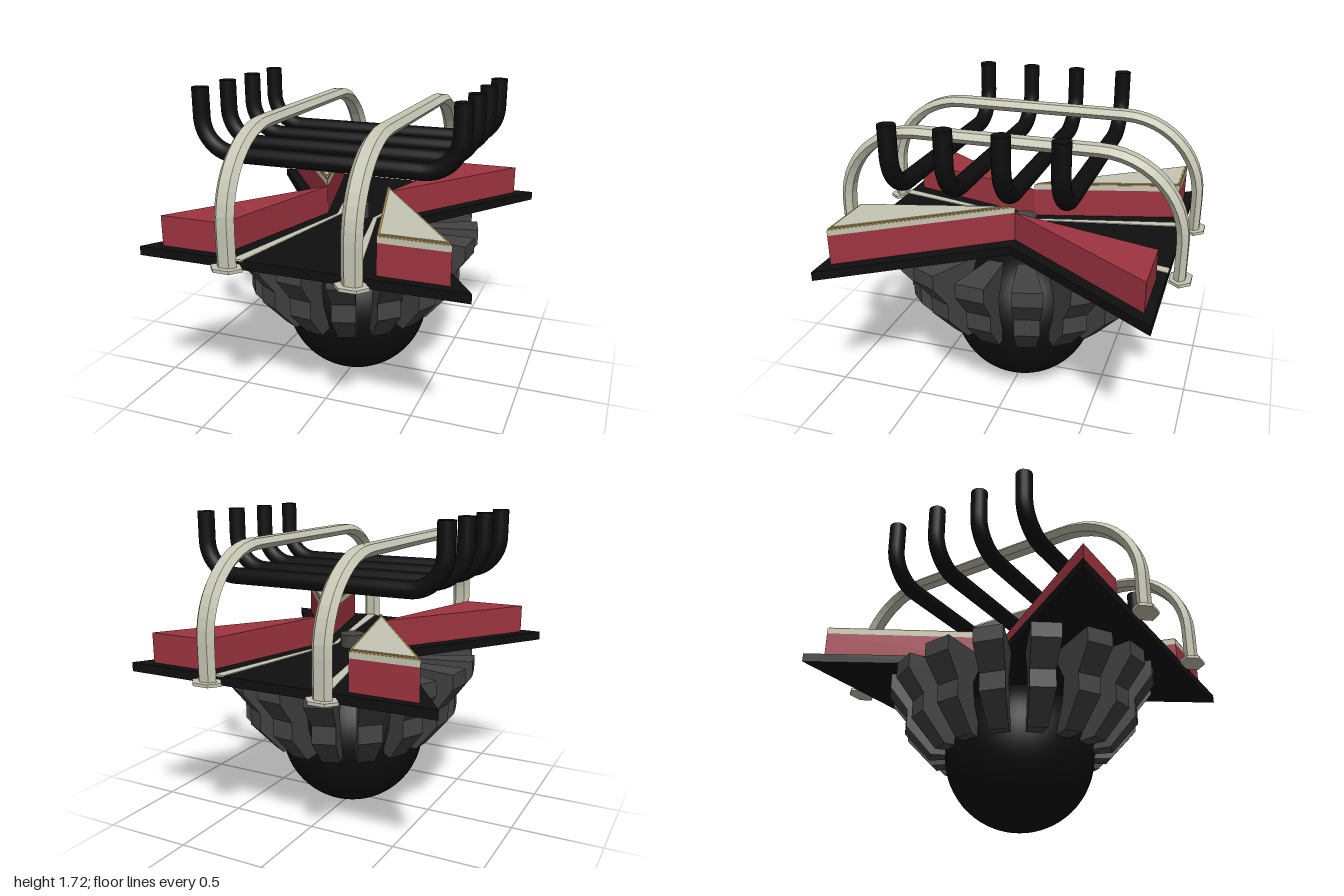
import * as THREE from 'three';

const mat = (color, flatShading = false, side = THREE.FrontSide) =>
  new THREE.MeshStandardMaterial({ color, flatShading, side });
const black = mat(0x0d0d0d), blackFlat = mat(0x0f0f0f, true);
const red = mat(0x9e3440, true), cream = mat(0xc6c6b4, true);
const gold = mat(0xb08a40, true), grey = mat(0x444444, true);

// Flat slab with outline given as [x, z] pairs, between two heights
function slab(points, y0, y1) {
  const shape = new THREE.Shape(points.map(([x, z]) => new THREE.Vector2(x, -z)));
  const g = new THREE.ExtrudeGeometry(shape, { depth: y1 - y0, bevelEnabled: false });
  return g.rotateX(-Math.PI / 2).translate(0, y0, 0);
}

// Wedge-shaped rib swept through a small angle, on a slightly oval ring
function ribGeometry(start, sweep) {
  const profile = [[0.38, 0.885], [0.40, 0.83], [0.47, 0.70], [0.45, 0.57], [0.38, 0.41],
    [0.47, 0.41], [0.605, 0.57], [0.605, 0.67], [0.70, 0.80], [0.70, 0.885]];
  const g = new THREE.ExtrudeGeometry(
    new THREE.Shape(profile.map(([r, y]) => new THREE.Vector2(r, y))),
    { depth: 1, bevelEnabled: false });
  const p = g.attributes.position;
  for (let i = 0; i < p.count; i++) {
    const r = p.getX(i), a = start + p.getZ(i) * sweep;
    p.setXYZ(i, r * Math.cos(a), p.getY(i), 1.13 * r * Math.sin(a));
  }
  g.computeVertexNormals();
  return g;
}

// Six-sided section swept over an arch in the yz plane
function archGeometry() {
  const path = [[0.94, 0.91, 0]];
  const steps = 12;
  for (let i = 0; i <= steps; i++) {
    const a = (i / steps) * Math.PI / 2;
    path.push([0.50 + 0.44 * Math.cos(a), 1.12 + 0.44 * Math.sin(a), a]);
  }
  const half = path.slice().reverse();
  half.forEach(([z, y, a]) => path.push([-z, y, Math.PI - a]));
  const section = [[0.055, 0], [0.028, 0.03], [-0.028, 0.03],
    [-0.055, 0], [-0.028, -0.03], [0.028, -0.03]];
  const pos = [], index = [], n = section.length;
  path.forEach(([z, y, a], i) => {
    section.forEach(([x, o], j) => {
      pos.push(x, y + o * Math.sin(a), z + o * Math.cos(a));
      if (i < path.length - 1) {
        const k = (j + 1) % n, p = i * n, q = p + n;
        index.push(p + j, q + j, p + k, p + k, q + j, q + k);
      }
    });
  });
  const g = new THREE.BufferGeometry();
  g.setAttribute('position', new THREE.Float32BufferAttribute(pos, 3));
  g.setIndex(index);
  g.computeVertexNormals();
  return g;
}

// Crossbar path: upright, rounded bend, straight run, bend, upright
function barPath() {
  const v = (x, y) => new THREE.Vector3(x, y, 0);
  const X = 0.713, Y = 1.365, r = 0.19, k = r * 0.448;
  const path = new THREE.CurvePath();
  path.add(new THREE.LineCurve3(v(-X, 1.715), v(-X, Y + r)));
  path.add(new THREE.CubicBezierCurve3(v(-X, Y + r), v(-X, Y + k), v(-X + k, Y), v(-X + r, Y)));
  path.add(new THREE.LineCurve3(v(-X + r, Y), v(X - r, Y)));
  path.add(new THREE.CubicBezierCurve3(v(X - r, Y), v(X - k, Y), v(X, Y + k), v(X, Y + r)));
  path.add(new THREE.LineCurve3(v(X, Y + r), v(X, 1.715)));
  return path;
}

export function createModel() {
  const model = new THREE.Group();
  model.name = 'model';
  const add = (name, geometry, material, parent = model) => {
    const m = new THREE.Mesh(geometry, material);
    m.name = name;
    parent.add(m);
    return m;
  };

  // Round body
  add('ball', new THREE.SphereGeometry(0.42, 48, 32), black).position.y = 0.42;

  // Ring of ribs around the body
  const ribs = new THREE.Group();
  ribs.name = 'ribs';
  model.add(ribs);
  for (let i = 0; i < 16; i++) {
    add('rib', ribGeometry(i * Math.PI / 8, THREE.MathUtils.degToRad(12)), grey, ribs);
  }

  // Bow-tie deck and central knob
  add('deck', slab([[-0.88, 0.88], [0.88, 0.88], [0.28, 0], [0.88, -0.88],
    [-0.88, -0.88], [-0.28, 0]], 0.885, 0.935), blackFlat);
  add('knob', new THREE.CylinderGeometry(0.07, 0.07, 0.08, 24), mat(0x444444)).position.y = 0.97;

  // Triangular blocks and trim strips in the four quarters
  const triangle = [[0.77, 0.83], [0.41, 0.83], [0.185, 0]];
  const strip = [[0.335, 0.88], [0.275, 0.88], [0.10, 0], [0.125, 0]];
  const inset = (s) => triangle.map(([x, z]) => [0.513 + (x - 0.513) * s, 0.696 + (z - 0.696) * s]);
  for (const sx of [1, -1]) {
    for (const sz of [1, -1]) {
      const flip = (pts) => pts.map(([x, z]) => [x * sx, z * sz]);
      add('block', slab(flip(triangle), 0.935, 1.10), red);
      add('trimStrip', slab(flip(strip), 0.93, 0.939), cream);
      if (sx === sz) {
        add('blockTop', slab(flip(triangle), 1.10, 1.132), cream);
        add('blockTrim', slab(flip(inset(0.975)), 1.132, 1.14), gold);
        add('blockPanel', slab(flip(inset(0.9)), 1.132, 1.143), cream);
      }
    }
  }

  // Arched rails with hexagonal feet
  const arch = archGeometry();
  const foot = slab([[0.09, 0], [0.045, 0.055], [-0.045, 0.055],
    [-0.09, 0], [-0.045, -0.055], [0.045, -0.055]], 0.903, 0.92);
  for (const x of [-0.33, 0.33]) {
    add('archRail', arch, cream).position.x = x;
    for (const z of [-0.945, 0.945]) add('railFoot', foot, cream).position.set(x, 0, z);
  }

  // Four crossbars with upturned ends
  const tube = new THREE.TubeGeometry(barPath(), 80, 0.047, 16, false);
  const cap = new THREE.CircleGeometry(0.047, 16).rotateX(-Math.PI / 2);
  for (const z of [0.47, 0.18, -0.11, -0.40]) {
    const bar = new THREE.Group();
    bar.name = 'crossbar';
    bar.position.z = z;
    model.add(bar);
    add('barTube', tube, black, bar);
    for (const x of [-0.713, 0.713]) add('barCap', cap, black, bar).position.set(x, 1.715, 0);
  }
  return model;
}
